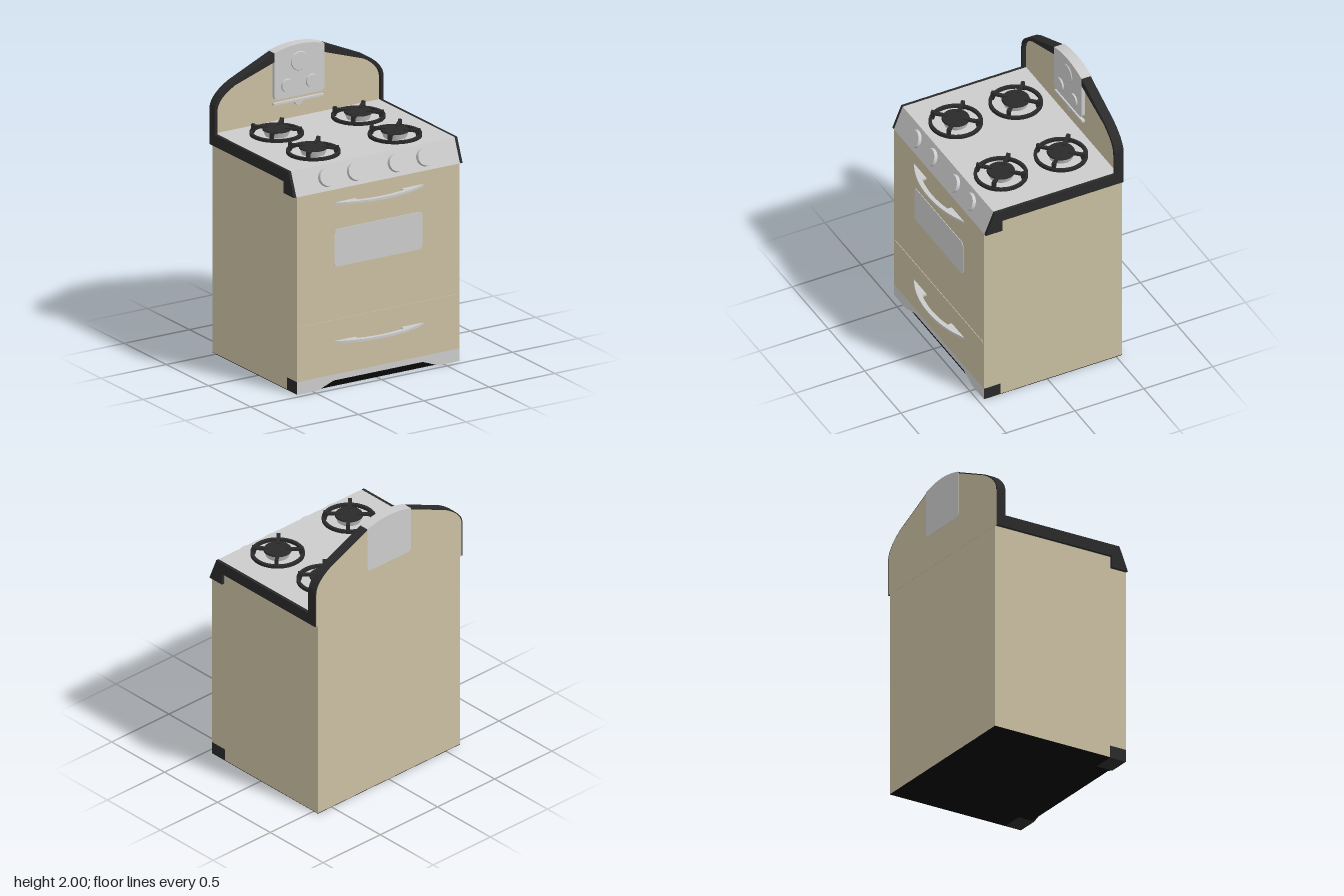
import * as THREE from 'three';

const mat = (color, extra = {}) => new THREE.MeshStandardMaterial({ color, ...extra });
const grey = mat(0xcccccc);
const beige = mat(0xcabfa2);
const black = mat(0x2a2a2a);
const darkest = mat(0x080808);

function add(parent, name, geometry, material, x = 0, y = 0, z = 0) {
  const mesh = new THREE.Mesh(geometry, material);
  mesh.name = name;
  mesh.position.set(x, y, z);
  parent.add(mesh);
  return mesh;
}

const polygon = (points) => new THREE.Shape(points.map(([x, y]) => new THREE.Vector2(x, y)));
const extrude = (shape, depth) =>
  new THREE.ExtrudeGeometry(shape, { depth, bevelEnabled: false, curveSegments: 16 });

// Extrudes a side profile given as [z, y] across the width, centred on x = 0
function sideProfile(points, width) {
  return extrude(polygon(points), width).rotateY(-Math.PI / 2).translate(width / 2, 0, 0);
}

// Rectangle with separate top and bottom corner radii
function roundedRect(w, y0, y1, r) {
  const s = new THREE.Shape();
  s.moveTo(-w + r, y0).lineTo(w - r, y0).quadraticCurveTo(w, y0, w, y0 + r);
  s.lineTo(w, y1 - r).quadraticCurveTo(w, y1, w - r, y1).lineTo(-w + r, y1);
  s.quadraticCurveTo(-w, y1, -w, y1 - r).lineTo(-w, y0 + r).quadraticCurveTo(-w, y0, -w + r, y0);
  return s;
}

// Points of the arched backsplash outline, from lower right over the top to lower left
function archPoints(w, shoulderY, kneeX, kneeY, topY) {
  const curve = new THREE.CubicBezierCurve(
    new THREE.Vector2(w, shoulderY), new THREE.Vector2(w, shoulderY + 0.07),
    new THREE.Vector2(kneeX + 0.08, kneeY - 0.045), new THREE.Vector2(kneeX, kneeY));
  const right = [[w, 1.42], ...curve.getPoints(12).map((p) => [p.x, p.y]), [0.185, topY]];
  return [...right, ...right.map(([x, y]) => [-x, y]).reverse()];
}

function createBody() {
  const body = new THREE.Group();
  body.name = 'body';
  add(body, 'cabinet', sideProfile([[-0.54, 0.003], [0.34, 0.003], [0.34, 0.085], [0.46, 0.085],
    [0.46, 1.34], [0.34, 1.34], [0.34, 1.42], [-0.54, 1.42]], 1.24), beige);
  add(body, 'underside', new THREE.BoxGeometry(1.24, 0.004, 0.88), darkest, 0, 0.002, -0.1);

  // Toe kick with a tapered cutout
  const kick = polygon([[-0.62, 0], [-0.46, 0], [-0.34, 0.045], [0.34, 0.045], [0.46, 0],
    [0.62, 0], [0.62, 0.085], [-0.62, 0.085]]);
  add(body, 'toeKick', extrude(kick, 0.12), [grey, black], 0, 0, 0.34);
  add(body, 'toeKickRecess', extrude(polygon([[-0.46, 0], [0.46, 0], [0.34, 0.045], [-0.34, 0.045]]), 0.1),
    darkest, 0, 0, 0.34);

  add(body, 'ovenWindow', extrude(roundedRect(0.335, 0.815, 1.07, 0.03), 0.006), grey, 0, 0, 0.458);
  add(body, 'drawerSeam', extrude(roundedRect(0.607, 0.44, 0.458, 0.006), 0.006), beige, 0, 0, 0.458);

  // Bowed handles for the oven door and the drawer
  const bow = new THREE.Shape();
  bow.moveTo(-0.355, -0.455).quadraticCurveTo(-0.2, -0.54, 0, -0.54);
  bow.quadraticCurveTo(0.2, -0.54, 0.355, -0.455).lineTo(0.175, -0.455).lineTo(0.175, -0.49);
  bow.quadraticCurveTo(0, -0.532, -0.175, -0.49).lineTo(-0.175, -0.455).closePath();
  for (const [name, y] of [['ovenHandle', 1.237], ['drawerHandle', 0.297]]) {
    add(body, name, extrude(bow, 0.016).rotateX(-Math.PI / 2), grey, 0, y, 0);
  }
  return body;
}

function createBurner(x, z) {
  const burner = new THREE.Group();
  burner.name = 'burner';
  burner.position.set(x, 1.5, z);
  add(burner, 'burnerBase', new THREE.CylinderGeometry(0.09, 0.075, 0.04, 32), grey, 0, 0.02, 0);
  add(burner, 'burnerCap', new THREE.CylinderGeometry(0.088, 0.092, 0.01, 32), black, 0, 0.044, 0);

  // Ring grate with four raised arms
  const ring = new THREE.Shape().absarc(0, 0, 0.175, 0, Math.PI * 2);
  ring.holes.push(new THREE.Path().absarc(0, 0, 0.154, 0, Math.PI * 2, true));
  add(burner, 'grateRing', new THREE.ExtrudeGeometry(ring, { depth: 0.02, bevelEnabled: false, curveSegments: 32 })
    .rotateX(-Math.PI / 2), black, 0, 0.005, 0);
  const arm = polygon([[0.165, 0.006], [0.165, 0.064], [0.145, 0.064], [0.14, 0.056],
    [0.055, 0.056], [0.055, 0.04], [0.135, 0.04], [0.145, 0.006]]);
  for (let i = 0; i < 4; i++) {
    const g = extrude(arm, 0.024).translate(0, 0, -0.012);
    add(burner, 'grateArm', g, black).rotation.y = Math.PI / 4 + i * Math.PI / 2;
  }
  return burner;
}

// Round dial with a slight taper, facing +z
const knobGeometry = (r, depth) =>
  new THREE.CylinderGeometry(r * 0.94, r, depth, 32).rotateX(Math.PI / 2).translate(0, 0, depth / 2);

function createCooktop() {
  const top = new THREE.Group();
  top.name = 'cooktop';
  const profile = [[-0.54, 1.42], [0.34, 1.42], [0.34, 1.34], [0.46, 1.34], [0.395, 1.5], [-0.54, 1.5]];
  add(top, 'cooktopPlate', sideProfile(profile, 1.25), grey);
  for (const s of [-1, 1]) {
    add(top, 'sideTrim', sideProfile(profile, 0.02), black, s * 0.635, 0, 0);
    for (const z of [-0.26, 0.175]) top.add(createBurner(s * 0.312, z));
  }
  // Control knobs on the sloped front
  for (const x of [-0.377, -0.158, 0.154, 0.372]) {
    const knob = add(top, 'controlKnob', knobGeometry(0.06, 0.022), grey, x, 1.42, 0.427);
    knob.rotation.x = -Math.atan2(0.065, 0.16);
  }
  return top;
}

function createBacksplash() {
  const back = new THREE.Group();
  back.name = 'backsplash';
  const outer = archPoints(0.645, 1.66, 0.5, 1.83, 1.97);
  const inner = archPoints(0.625, 1.65, 0.49, 1.808, 1.91);
  add(back, 'archTrim', extrude(polygon([...outer, ...inner.slice().reverse()]), 0.065), black, 0, 0, -0.54);
  add(back, 'archPanel', extrude(polygon(inner), 0.04), beige, 0, 0, -0.54);
  const rear = archPoints(0.635, 1.66, 0.495, 1.825, 1.962);
  add(back, 'rearSkin', extrude(polygon(rear), 0.004), beige, 0, 0, -0.542);

  // Control panel with an arched top
  const panel = new THREE.Shape();
  panel.moveTo(-0.16, 1.65).lineTo(0.16, 1.65).quadraticCurveTo(0.19, 1.65, 0.19, 1.68);
  panel.lineTo(0.19, 1.97).quadraticCurveTo(0.09, 2, 0, 2).quadraticCurveTo(-0.09, 2, -0.19, 1.97);
  panel.lineTo(-0.19, 1.68).quadraticCurveTo(-0.19, 1.65, -0.16, 1.65);
  add(back, 'controlPanel', extrude(panel, 0.072), grey, 0, 0, -0.545);
  add(back, 'clockFace', knobGeometry(0.065, 0.006), grey, 0, 1.885, -0.473);
  for (const x of [-0.095, 0.093]) add(back, 'timerKnob', knobGeometry(0.045, 0.012), grey, x, 1.735, -0.474);

  // Trim strip and small drop ornament under the panel
  add(back, 'trimStrip', new THREE.BoxGeometry(0.38, 0.014, 0.025), grey, 0, 1.618, -0.49);
  add(back, 'dropOrnament', extrude(polygon([[-0.035, 1.612], [-0.015, 1.585], [0.015, 1.585], [0.035, 1.612]]), 0.02),
    grey, 0, 0, -0.5);
  return back;
}

export function createModel() {
  const model = new THREE.Group();
  model.name = 'stove';
  model.add(createBody(), createCooktop(), createBacksplash());
  return model;
}
